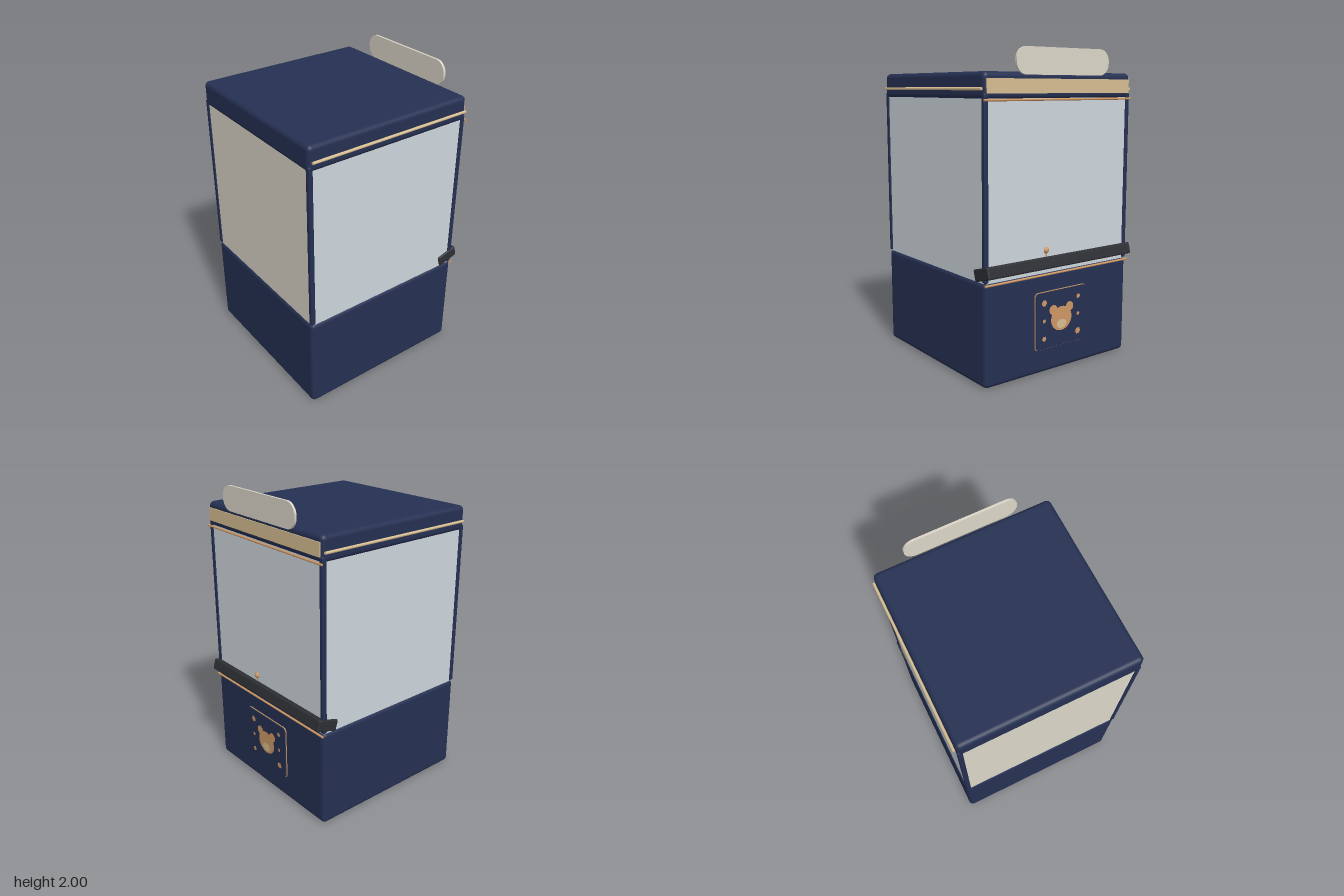
import * as THREE from 'three';
import { RoundedBoxGeometry } from 'three/addons/geometries/RoundedBoxGeometry.js';

const mat = (name, color, side = THREE.FrontSide) => {
  const m = new THREE.MeshStandardMaterial({ color, side });
  m.name = name;
  return m;
};

export function createModel() {
  const model = new THREE.Group();
  model.name = 'clawMachine';
  const navy = mat('navy', 0x253052);
  const cream = mat('cream', 0xdcd6c8);
  const glass = mat('glass', 0xcdd6dc);
  const gold = mat('gold', 0xd6be92);
  const copper = mat('copper', 0xcf9865);
  const dark = mat('charcoal', 0x2d2f34);

  const add = (name, geo, material, x, y, z, parent = model) => {
    const m = new THREE.Mesh(geo, material);
    m.name = name;
    m.position.set(x, y, z);
    parent.add(m);
    return m;
  };
  const rounded = (w, h, d, r) => new RoundedBoxGeometry(w, h, d, 4, r);
  const MID = 0.025; // cabinet centre in z

  // Cabinet: base, roof and corner posts
  add('base', rounded(1.156, 0.645, 1.16, 0.03), navy, 0, 0.3225, MID);
  add('roof', rounded(1.156, 0.16, 1.16, 0.03), navy, 0, 1.777, MID);
  for (const sx of [-1, 1])
    for (const sz of [-1, 1])
      add('cornerPost', rounded(0.032, 1.09, 0.032, 0.01), navy, sx * 0.561, 1.19, MID + sz * 0.563);

  // Window panels and the solid cream panel
  const H = 1.07, Y = 1.175;
  for (const sx of [-1, 1])
    add('sideWindow', new THREE.BoxGeometry(0.012, H, 1.11), glass, sx * 0.563, Y, MID);
  add('playWindow', new THREE.BoxGeometry(1.11, H, 0.012), glass, 0, Y, MID - 0.565);
  add('creamPanel', new THREE.BoxGeometry(1.11, H, 0.012), cream, 0, Y, MID + 0.565);

  // Trim rods
  const rod = (name, r, len, material, x, y, z, axis) => {
    const m = add(name, new THREE.CylinderGeometry(r, r, len, 12), material, x, y, z);
    m.rotation[axis] = Math.PI / 2;
  };
  for (const sx of [-1, 1]) rod('sideRail', 0.009, 1.125, gold, sx * 0.586, 1.76, 0.02, 'x');
  for (const y of [0.632, 1.697]) rod('copperTrim', 0.007, 1.16, copper, 0, y, -0.56, 'z');

  // Gold header plate
  add('headerPlate', new THREE.BoxGeometry(1.12, 0.085, 0.008), gold, 0, 1.776, -0.557);

  // Rounded outline centred on the origin
  const roundedShape = (w, h, r) => {
    const s = new THREE.Shape();
    s.absarc(w / 2 - r, h / 2 - r, r, 0, Math.PI / 2);
    s.absarc(-w / 2 + r, h / 2 - r, r, Math.PI / 2, Math.PI);
    s.absarc(-w / 2 + r, -h / 2 + r, r, Math.PI, Math.PI * 1.5);
    s.absarc(w / 2 - r, -h / 2 + r, r, Math.PI * 1.5, Math.PI * 2);
    s.closePath();
    return s;
  };
  const plate = (shape, depth) =>
    new THREE.ExtrudeGeometry(shape, { depth, bevelEnabled: false, curveSegments: 16 });

  // Pill-shaped sign on the roof
  add('topSign', plate(roundedShape(0.726, 0.16, 0.075), 0.015), cream, 0, 1.92, -0.574);

  // Tilted control deck with joystick
  const deck = add('controlDeck', rounded(1.162, 0.075, 0.15, 0.01), dark, 0, 0.695, -0.52);
  deck.rotation.x = 0.28;
  const stick = new THREE.Group();
  stick.name = 'joystick';
  stick.position.set(0.11, 0.725, -0.54);
  add('joystickShaft', new THREE.CylinderGeometry(0.009, 0.009, 0.07, 10), copper, 0, 0.025, 0, stick);
  add('joystickBall', new THREE.SphereGeometry(0.022, 10, 8), copper, 0, 0.058, 0, stick);
  model.add(stick);

  // Prize door on the play side
  const door = new THREE.Group();
  door.name = 'prizeDoor';
  door.position.set(0, 0.34, -0.553);
  door.rotation.y = Math.PI;
  model.add(door);
  add('doorBorder', plate(roundedShape(0.414, 0.37, 0.025), 0.007), copper, 0, 0, 0, door);
  add('doorPlate', plate(roundedShape(0.406, 0.362, 0.022), 0.014), navy, 0, 0, 0, door);

  // Bear face: head, ears and muzzle as thin plates
  const disc = (name, r, sides, material, x, y, z, sx = 1, sy = 1) =>
    add(name, new THREE.CircleGeometry(r, sides), material, x, y, z, door).scale.set(sx, sy, 1);
  disc('bearHead', 0.085, 32, copper, 0, -0.005, 0.0165, 1, 0.92);
  for (const s of [-1, 1]) disc('bearEar', 0.032, 20, copper, s * 0.067, 0.06, 0.016);
  disc('bearMuzzle', 0.04, 24, gold, 0, -0.04, 0.0185, 1, 0.72);

  // Dots around the face
  for (const s of [-1, 1])
    for (const [y, r] of [[0.115, s < 0 ? 0.022 : 0.016], [0, 0.013], [-0.115, s < 0 ? 0.017 : 0.022]])
      disc('doorDot', r, 6, copper, s * 0.14, y, 0.0165);

  return model;
}
